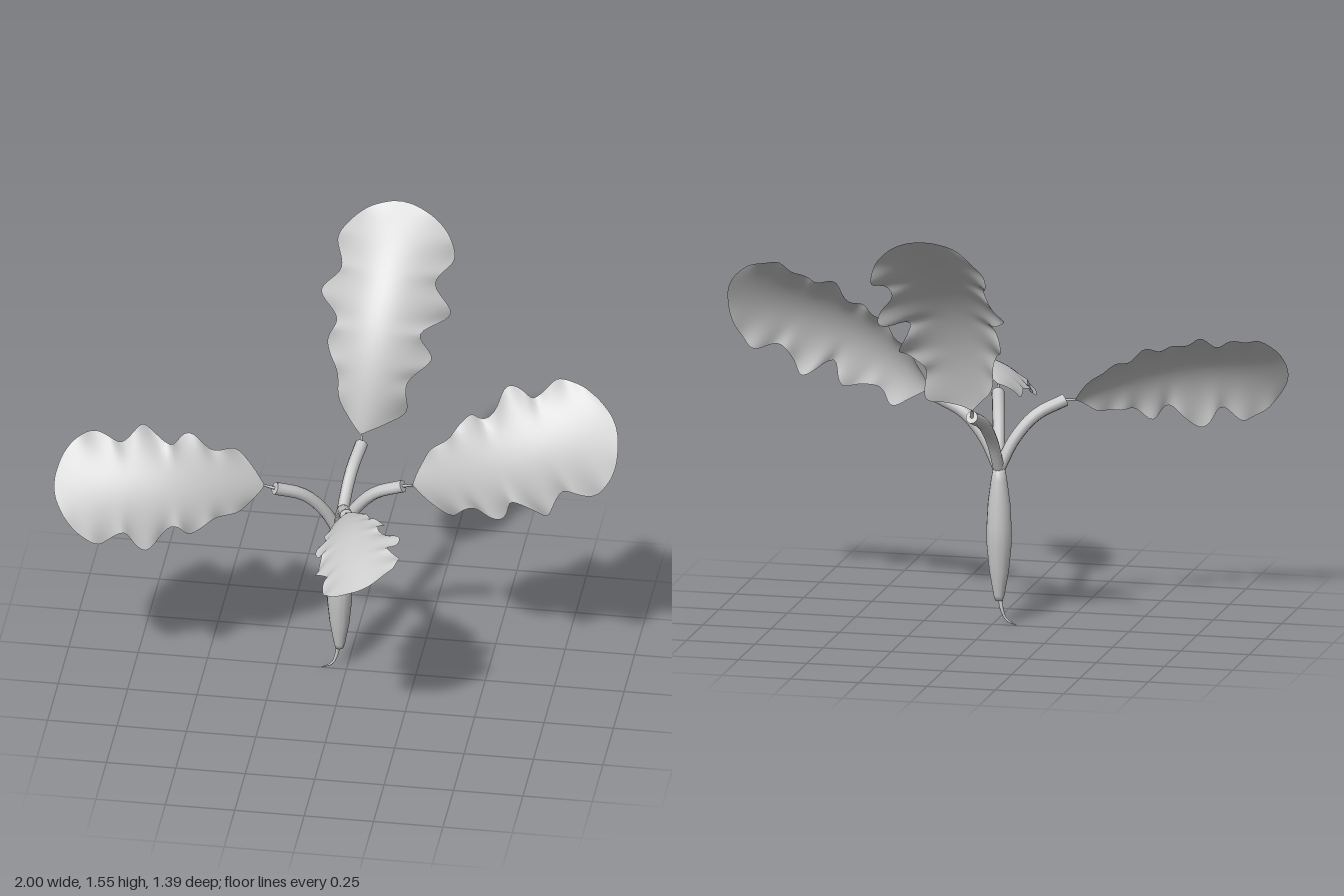
import * as THREE from 'three';

const grey = new THREE.MeshStandardMaterial({ color: 0xc8c8c8, side: THREE.DoubleSide });
grey.name = 'plain grey';

const V = (a) => new THREE.Vector3(...a);

function add(parent, geometry, name) {
  const mesh = new THREE.Mesh(geometry, grey);
  mesh.name = name;
  parent.add(mesh);
  return mesh;
}

// Tube whose radius runs from r0 to r1
function taperedTube(points, r0, r1, steps = 12, sides = 10) {
  const curve = new THREE.CatmullRomCurve3(points.map(V));
  const geo = new THREE.TubeGeometry(curve, steps, 1, sides);
  const pos = geo.attributes.position, p = new THREE.Vector3();
  for (let i = 0; i < pos.count; i++) {
    const s = Math.floor(i / (sides + 1)) / steps;
    const c = curve.getPointAt(s);
    p.fromBufferAttribute(pos, i).sub(c).multiplyScalar(r0 + (r1 - r0) * s).add(c);
    pos.setXYZ(i, p.x, p.y, p.z);
  }
  return geo;
}

// Lobed leaf outline: [distance along the midrib, half width on each side]
const outline = [
  [0, 0.005, 0.005], [0.06, 0.055, 0.08], [0.13, 0.1, 0.14], [0.25, 0.125, 0.135],
  [0.36, 0.18, 0.2], [0.46, 0.155, 0.155], [0.57, 0.24, 0.235], [0.68, 0.175, 0.168],
  [0.79, 0.215, 0.212], [0.88, 0.18, 0.19], [0.95, 0.12, 0.13], [0.99, 0.05, 0.055], [1, 0, 0],
];
const sideCurve = (k) => new THREE.SplineCurve(outline.map((o) => new THREE.Vector2(o[0], o[k])));
const sideA = sideCurve(1), sideB = sideCurve(2);

// Leaf blade: arched along the midrib, drooping toward its wavy edges
function leafGeometry({ base, tip, across, width, droop }) {
  const origin = V(base), axis = V(tip).sub(origin);
  const length = axis.length(), dir = axis.clone().normalize();
  const side = V(across);
  side.addScaledVector(dir, -side.dot(dir)).normalize();
  const up = new THREE.Vector3().crossVectors(dir, side);
  const rows = 72, cols = 16, positions = [], index = [];
  for (let i = 0; i <= rows; i++) {
    const a = sideA.getPoint(i / rows), b = sideB.getPoint(i / rows);
    for (let j = 0; j <= cols; j++) {
      const v = (j / cols) * 2 - 1;
      const t = Math.min(1, (a.x + b.x) / 2);
      const w = Math.max(0, v > 0 ? a.y : b.y) * v;
      const arch = 0.11 * length * Math.sin(Math.PI * Math.pow(t, 0.9));
      const ruffle = 0.014 * v ** 4 * Math.sin(t * 46 + v) * Math.sin(Math.PI * t);
      // The blade folds hardest near the stalk and flattens at the tip
      const sag = 2.4 * droop * w * w * (1 + 2.5 * (1 - t) ** 8 - 0.85 * t ** 6);
      const p = origin.clone().addScaledVector(dir, t * length)
        .addScaledVector(side, w * width).addScaledVector(up, arch + (ruffle - sag) * width);
      positions.push(p.x, p.y, p.z);
      if (i < rows && j < cols) {
        const k = i * (cols + 1) + j, n = k + cols + 1;
        index.push(k, n, k + 1, k + 1, n, n + 1);
      }
    }
  }
  const geo = new THREE.BufferGeometry();
  geo.setAttribute('position', new THREE.Float32BufferAttribute(positions, 3));
  geo.setIndex(index);
  geo.computeVertexNormals();
  return geo;
}

const leaves = [
  { name: 'back', stem: [0.02, 0.81, -0.23], base: [0.015, 0.84, -0.245], tip: [0.1, 1.55, -0.69],
    across: [-1, 0.03, -0.06], width: 1, droop: 1 },
  { name: 'left', stem: [0.21, 0.815, 0.04], base: [0.25, 0.835, 0.06], tip: [0.985, 1.17, 0.09],
    across: [-0.3, 0.84, -0.46], width: 1.02, droop: 0.6 },
  { name: 'right', stem: [-0.24, 0.81, 0.115], base: [-0.28, 0.815, 0.11], tip: [-1, 0.89, 0.355],
    across: [0.13, -0.84, 0.53], width: 0.95, droop: 0.62 },
  { name: 'front', stem: [0.035, 0.795, 0.235], base: [0.04, 0.82, 0.26], tip: [0.165, 0.78, 0.695],
    across: [0.31, 0.145, -0.06], width: 0.71, droop: 0.6 },
];

export function createModel() {
  const model = new THREE.Group();
  model.name = 'rootPlant';
  const cx = -0.025;

  // Swollen root with a thin curling tail
  const profile = [[0, 0.088], [0.014, 0.092], [0.02, 0.11], [0.036, 0.2], [0.046, 0.3],
    [0.046, 0.36], [0.041, 0.45], [0.03, 0.53], [0.022, 0.575], [0, 0.582]];
  const root = add(model, new THREE.LatheGeometry(
    profile.map((p) => new THREE.Vector2(...p)), 12), 'root');
  root.position.x = cx;
  add(model, taperedTube([[cx - 0.004, 0.11, 0], [-0.036, 0.06, -0.003], [-0.053, 0.022, 0],
    [-0.088, 0.004, 0]], 0.009, 0.002), 'rootTail');

  for (const leaf of leaves) {
    const group = new THREE.Group();
    group.name = leaf.name + 'Leaf';
    model.add(group);

    // Thick stem arching outward, closed by a flat end
    const [ex, ey, ez] = leaf.stem, dx = ex - cx, rise = ey - 0.57;
    const path = [[cx, 0.57, 0], [cx + dx * 0.24, 0.57 + rise * 0.46, ez * 0.24],
      [cx + dx * 0.56, 0.57 + rise * 0.8, ez * 0.56], leaf.stem];
    add(group, taperedTube(path, 0.021, 0.023), 'stem');
    const cap = add(group, new THREE.CircleGeometry(0.023, 10), 'stemEnd');
    cap.position.set(ex, ey, ez);
    const out = new THREE.CatmullRomCurve3(path.map(V)).getTangentAt(1);
    cap.quaternion.setFromUnitVectors(new THREE.Vector3(0, 0, 1), out);

    // Thin stalk joining stem and blade
    add(group, taperedTube([leaf.stem, leaf.base], 0.006, 0.004, 3, 6), 'stalk');
    add(group, leafGeometry(leaf), 'blade');
  }
  return model;
}
